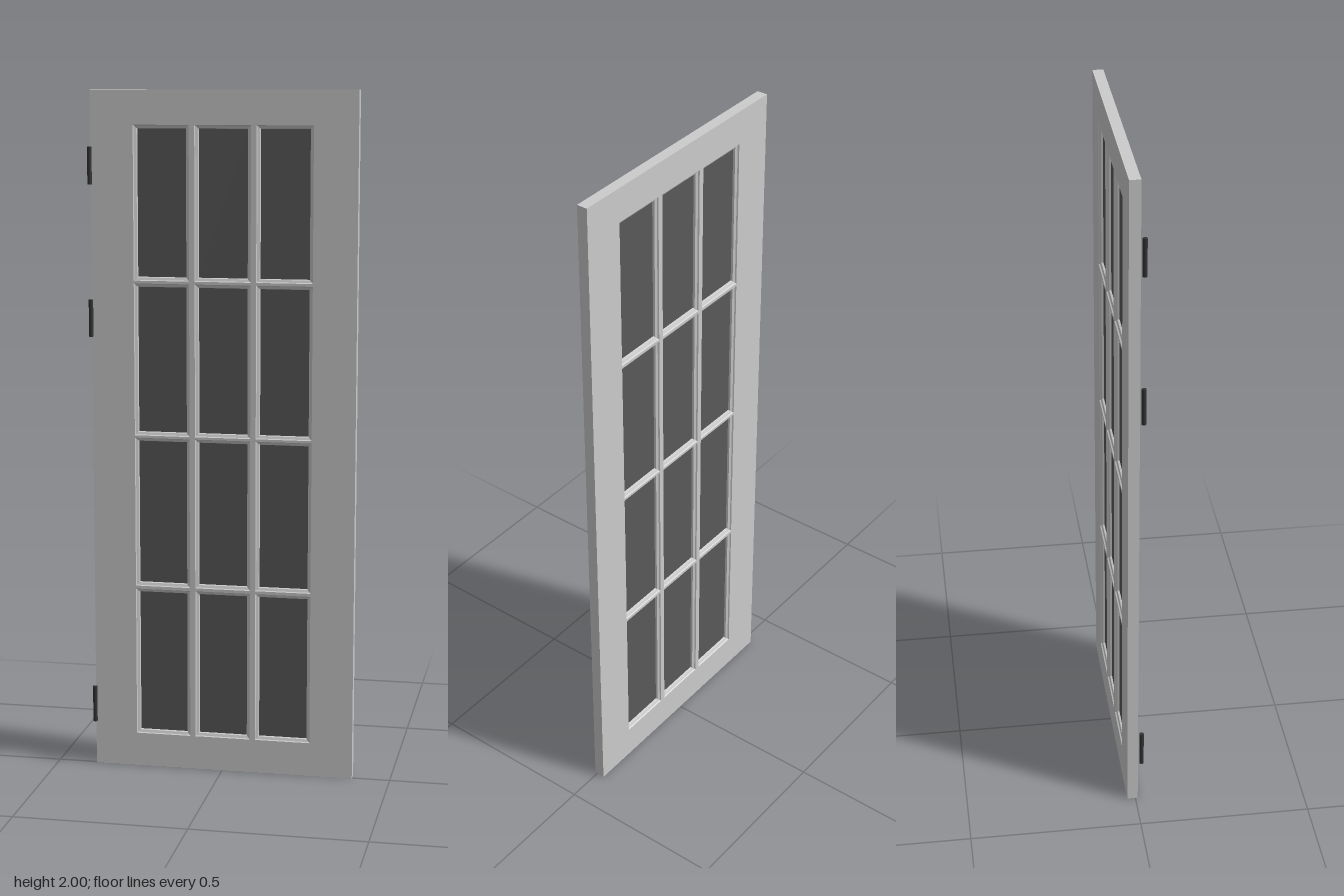
import * as THREE from 'three';

const FRONT = 0.007, BACK = -0.0245, MID = (FRONT + BACK) / 2;
const LEFT = -0.384, RIGHT = 0.389, CX = 0.0015;
const COLS = [-0.179, 0, 0.179].map((x) => x + CX);
const ROWS = [0.323, 0.776, 1.227, 1.679];
const PANE_W = 0.163, PANE_H = 0.444;

// Sweeps a moulding profile of [inset, z] points around a rectangular opening
function mouldingGeometry(w, h, profile) {
  const corners = [[-1, -1], [1, -1], [1, 1], [-1, 1]];
  const loops = profile.map(([inset, z]) => corners.map(([sx, sy]) =>
    [sx * (w / 2 - inset), sy * (h / 2 - inset), z]));
  const pos = [];
  for (let i = 0; i < loops.length - 1; i++) {
    for (let k = 0; k < 4; k++) {
      const n = (k + 1) % 4;
      const a = loops[i][k], b = loops[i][n], c = loops[i + 1][n], d = loops[i + 1][k];
      pos.push(...a, ...b, ...c, ...a, ...c, ...d);
    }
  }
  const geo = new THREE.BufferGeometry();
  geo.setAttribute('position', new THREE.Float32BufferAttribute(pos, 3));
  geo.computeVertexNormals();
  return geo;
}

export function createModel() {
  const model = new THREE.Group();
  model.name = 'glazedDoor';
  const grey = new THREE.MeshStandardMaterial({ color: 0xcccccc });
  const glass = new THREE.MeshStandardMaterial({ color: 0x595959 });
  const dark = new THREE.MeshStandardMaterial({ color: 0x333333 });

  const add = (name, geo, mat, x = 0, y = 0, z = 0) => {
    const mesh = new THREE.Mesh(geo, mat);
    mesh.name = name;
    mesh.position.set(x, y, z);
    model.add(mesh);
  };
  const rectangle = (path, x0, y0, x1, y1) =>
    path.moveTo(x0, y0).lineTo(x1, y0).lineTo(x1, y1).lineTo(x0, y1).closePath();

  // Door slab: stiles, rails and glazing bars in one piece with twelve openings
  const slab = rectangle(new THREE.Shape(), LEFT, 0, RIGHT, 2);
  for (const x of COLS) for (const y of ROWS) {
    slab.holes.push(rectangle(new THREE.Path(),
      x - PANE_W / 2, y - PANE_H / 2, x + PANE_W / 2, y + PANE_H / 2));
  }
  add('doorFrame', new THREE.ExtrudeGeometry(slab, { depth: FRONT - BACK, bevelEnabled: false }),
    grey, 0, 0, BACK);

  // Stepped moulding and glass in each opening, the same on both faces
  const half = (FRONT - BACK) / 2;
  const side = [[0, half], [0.002, half - 0.004], [0.009, half - 0.007], [0.011, 0.002]];
  const profile = [...side, ...side.map(([i, z]) => [i, -z]).reverse()];
  const moulding = mouldingGeometry(PANE_W, PANE_H, profile);
  const pane = new THREE.BoxGeometry(PANE_W - 0.018, PANE_H - 0.018, 0.006);
  for (const x of COLS) for (const y of ROWS) {
    add('paneMoulding', moulding, grey, x, y, MID);
    add('glassPane', pane, glass, x, y, MID);
  }

  // Hinge barrels along the edge
  const barrel = new THREE.CylinderGeometry(0.0065, 0.0065, 0.108, 20);
  for (const y of [0.188, 1.347, 1.785]) add('hinge', barrel, dark, LEFT, y, 0.0175);

  return model;
}
